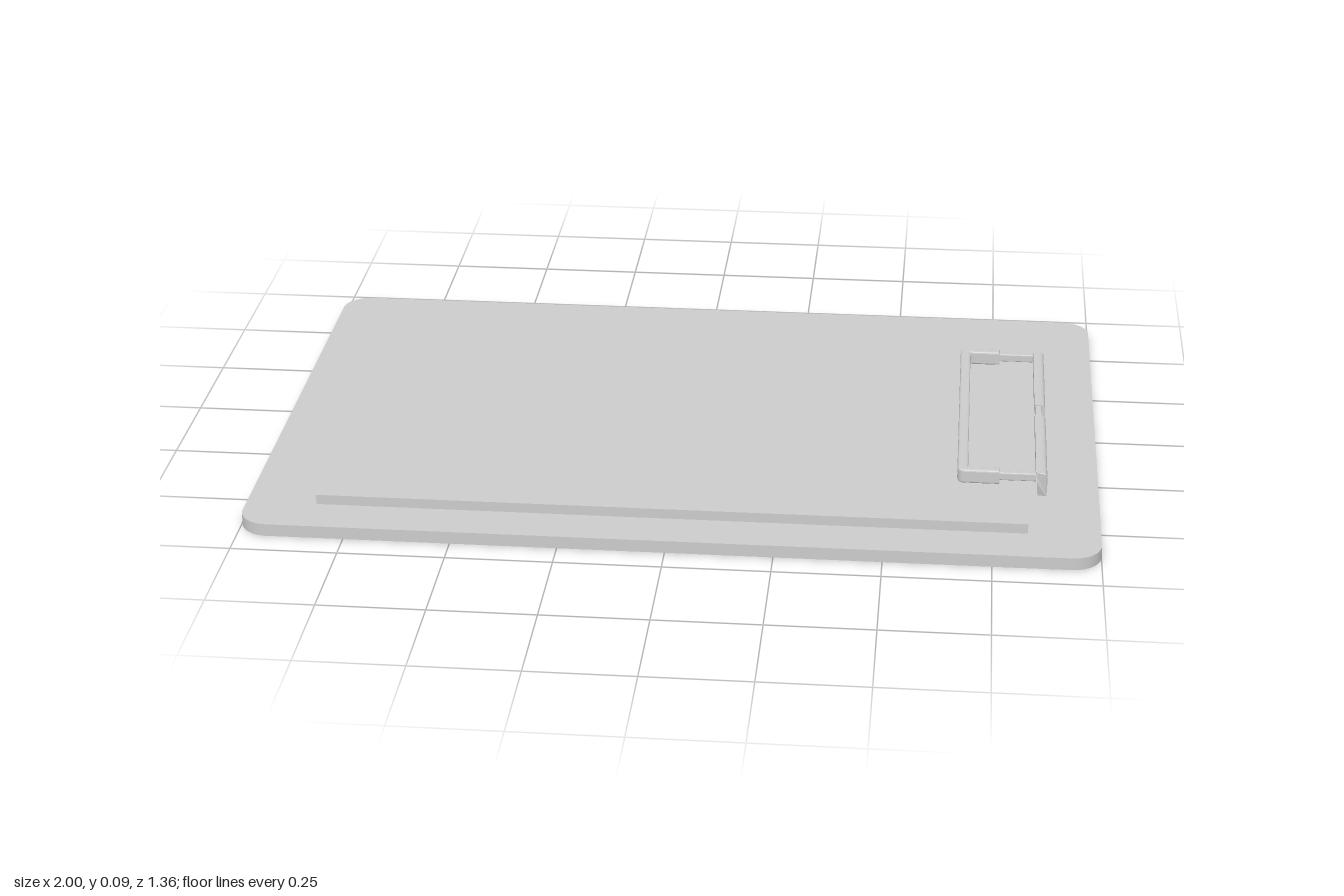
import * as THREE from 'three';

const material = new THREE.MeshStandardMaterial({ color: 0xcccccc });

// Rounded rectangle outline in plan (x, z), drawn with shape y = -z
function roundedRect(target, x0, x1, z0, z1, r) {
  const a = -z1, b = -z0, h = Math.PI / 2;
  target.moveTo(x0 + r, a);
  target.absarc(x1 - r, a + r, r, -h, 0);
  target.absarc(x1 - r, b - r, r, 0, h);
  target.absarc(x0 + r, b - r, r, h, 2 * h);
  target.absarc(x0 + r, a + r, r, 2 * h, 3 * h);
  target.closePath();
  return target;
}

// Extrudes a plan outline from y0 up to y1, bevel kept within the outline
function slab(name, shape, y0, y1, bevel = 0) {
  const geometry = new THREE.ExtrudeGeometry(shape, {
    depth: y1 - y0 - 2 * bevel, curveSegments: 8,
    bevelEnabled: bevel > 0, bevelSize: bevel, bevelThickness: bevel,
    bevelOffset: -bevel, bevelSegments: 3,
  });
  geometry.rotateX(-Math.PI / 2).translate(0, y0 + bevel, 0);
  const mesh = new THREE.Mesh(geometry, material);
  mesh.name = name;
  return mesh;
}

export function createModel() {
  const model = new THREE.Group();
  model.name = 'clipboard';

  // Backing board and paper stack
  model.add(slab('board', roundedRect(new THREE.Shape(), -1, 1, -0.68, 0.68, 0.07), 0, 0.03));
  const paper = new THREE.Mesh(new THREE.BoxGeometry(1.665, 0.025, 1.135), material);
  paper.position.set(-0.001, 0.0415, -0.002);
  paper.name = 'paperStack';
  model.add(paper);

  const clip = new THREE.Group();
  clip.name = 'clip';
  clip.position.z = 0.013;
  model.add(clip);

  // Thin ring joining the pressing bar to the hinge walls
  const ring = roundedRect(new THREE.Shape(), 0.668, 0.868, -0.355, 0.355, 0.02);
  ring.holes.push(roundedRect(new THREE.Path(), 0.69, 0.852, -0.337, 0.337, 0.008));
  clip.add(slab('clipFrame', ring, 0.067, 0.087, 0.003));

  // Thick U-shaped pressing bar
  const bar = new THREE.Shape();
  bar.moveTo(0.685, -0.358);
  bar.lineTo(0.765, -0.358);
  bar.lineTo(0.765, -0.335);
  bar.lineTo(0.69, -0.335);
  bar.lineTo(0.69, 0.335);
  bar.lineTo(0.765, 0.335);
  bar.lineTo(0.765, 0.358);
  bar.lineTo(0.685, 0.358);
  bar.quadraticCurveTo(0.665, 0.358, 0.665, 0.338);
  bar.lineTo(0.665, -0.338);
  bar.quadraticCurveTo(0.665, -0.358, 0.685, -0.358);
  clip.add(slab('pressingBar', bar, 0.057, 0.092, 0.005));

  // Upright hinge walls with rounded tops, either side of a central gap
  const profile = new THREE.Shape();
  profile.moveTo(0.856, 0.029);
  profile.lineTo(0.877, 0.029);
  profile.lineTo(0.877, 0.076);
  profile.quadraticCurveTo(0.877, 0.09, 0.863, 0.09);
  profile.lineTo(0.85, 0.09);
  profile.lineTo(0.85, 0.068);
  profile.quadraticCurveTo(0.856, 0.068, 0.856, 0.06);
  profile.closePath();
  for (const side of [-1, 1]) {
    const geometry = new THREE.ExtrudeGeometry(profile, { depth: 0.33, bevelEnabled: false, curveSegments: 6 });
    geometry.translate(0, 0, side > 0 ? 0.03 : -0.36);
    // Pull the outer end in towards the foot and at the top edge
    const p = geometry.attributes.position;
    for (let i = 0; i < p.count; i++) {
      if (Math.abs(p.getZ(i)) < 0.3) continue;
      const y = p.getY(i);
      p.setZ(i, side * (0.36 - (y < 0.04 ? 0.007 : Math.max(0, y - 0.08) * 0.6)));
    }
    geometry.computeVertexNormals();
    const wall = new THREE.Mesh(geometry, material);
    wall.name = side > 0 ? 'hingeWallFront' : 'hingeWallBack';
    clip.add(wall);
  }
  return model;
}
